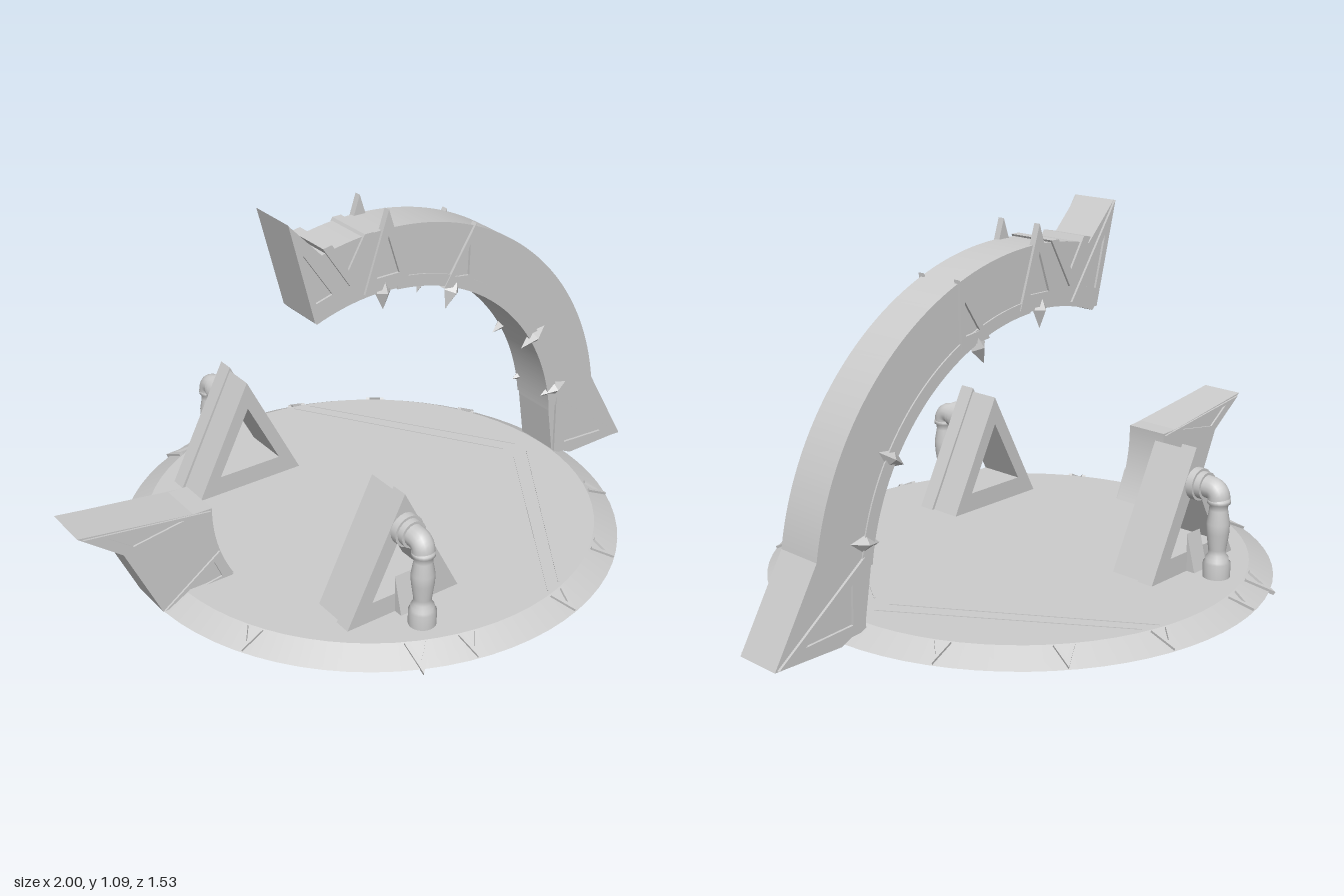
import * as THREE from 'three';

const grey = new THREE.MeshStandardMaterial({ color: 0xcccccc, side: THREE.DoubleSide });
const ARCH_Z = -0.007, CY = 0.14, R_OUT = 0.86, R_IN = 0.67;

function add(parent, name, geo) {
  const mesh = new THREE.Mesh(geo, grey);
  mesh.name = name;
  parent.add(mesh);
  return mesh;
}

const toShape = pts => new THREE.Shape(pts.map(p => new THREE.Vector2(...p)));

// Points shrunk towards their centroid, used for the hole of a frame
function shrink(pts, k) {
  const cx = pts.reduce((s, p) => s + p[0], 0) / pts.length;
  const cy = pts.reduce((s, p) => s + p[1], 0) / pts.length;
  return pts.map(p => [cx + (p[0] - cx) * k, cy + (p[1] - cy) * k]);
}

function frameShape(pts, k) {
  const s = toShape(pts);
  s.holes.push(toShape(shrink(pts, k)));
  return s;
}

// Extrusion along z between z0 and z1
function slab(shape, z0, z1) {
  return new THREE.ExtrudeGeometry(shape, { depth: z1 - z0, bevelEnabled: false, curveSegments: 48 })
    .translate(0, 0, z0);
}

// Thin triangular frames on both side faces of the arch or foot
function sideFrames(parent, name, pts, k = 0.5, inner = 0.06, outer = 0.081) {
  for (const s of [-1, 1]) {
    const [a, b] = s > 0 ? [inner, outer] : [-outer, -inner];
    add(parent, name, slab(frameShape(pts, k), a, b));
  }
}

function buildBase() {
  const base = new THREE.Group();
  base.name = 'base';
  const P = (x, y) => new THREE.Vector2(x, y);
  // Open underneath: flat floor and a separate sloping rim
  add(base, 'floor', new THREE.CircleGeometry(0.69, 72).rotateX(-Math.PI / 2).translate(0, 0.055, 0));
  add(base, 'slopingRim', new THREE.LatheGeometry([P(0.763, 0.015), P(0.69, 0.055)], 72));

  // V-shaped ornaments lying on the rim
  const vee = toShape([[0, -0.03], [0.075, 0], [0, 0.03], [0, 0.018], [0.045, 0], [0, -0.018]]);
  for (const deg of [26, 53, 76, 103, 115, 153]) for (const s of [-1, 1]) {
    const holder = new THREE.Group();
    holder.name = 'rimOrnament';
    holder.rotation.y = -s * deg * Math.PI / 180;
    const v = add(holder, 'rimVee', slab(vee, -0.006, 0.006).rotateX(-Math.PI / 2));
    const k = deg === 115 ? 1.25 : 1;
    v.scale.set(k, 1, k);
    v.position.set(0.695, 0.053, 0);
    v.rotation.z = -0.49;
    base.add(holder);
  }

  // Pairs of narrow seams forming a chevron on the floor
  for (const s of [-1, 1]) for (const off of [0, 0.055]) {
    const a = [0.15 + off, 0.66 - off * 0.3], b = [0.56 + off, 0.03];
    const dx = b[0] - a[0], dz = b[1] - a[1];
    const seam = add(base, 'floorSeam', new THREE.BoxGeometry(Math.hypot(dx, dz), 0.003, 0.005));
    seam.position.set((a[0] + b[0]) / 2, 0.0555, s * (a[1] + b[1]) / 2);
    seam.rotation.y = -s * Math.atan2(dz, dx);
  }
  return base;
}

function buildArch() {
  const arch = new THREE.Group();
  arch.name = 'brokenArch';
  arch.position.z = ARCH_Z;

  // Main curved body with flared foot and pointed broken end
  const body = new THREE.Shape();
  body.moveTo(0.69, 0.056);
  body.lineTo(0.775, 0.015);
  body.lineTo(0.998, 0.018);
  body.absarc(0, CY, R_OUT, 0.16, 1.817, false);
  body.lineTo(-0.32, 1.09);
  body.lineTo(-0.24, 0.78);
  body.absarc(0, CY, R_IN, 1.92, 0.1, true);
  add(arch, 'archBody', slab(body, -0.073, 0.073));

  // Slightly wider band along the inner curve
  const band = new THREE.Shape();
  band.absarc(0, CY, 0.705, 0.12, 1.5, false);
  band.absarc(0, CY, R_IN - 0.002, 1.5, 0.12, true);
  add(arch, 'innerBand', slab(band, -0.078, 0.078));

  // Wider blocks at the pointed end and the foot
  add(arch, 'endBlock', slab(frameShape([[-0.32, 1.09], [-0.24, 0.78], [-0.13, 0.81]], 0.5), -0.08, 0.08));
  sideFrames(arch, 'footFrame', [[0.692, 0.25], [0.695, 0.04], [0.99, 0.022]], 0.55);

  // Full-width V ridge over the top
  add(arch, 'topRidge', slab(toShape([[-0.21, 0.995], [-0.18, 1.0], [-0.125, 0.91], [-0.07, 1.005],
    [-0.04, 1.005], [-0.12, 0.86]]), -0.08, 0.08));

  // Triangular frames
  sideFrames(arch, 'triangleFrame', [[0.012, 1.06], [-0.07, 0.82], [0.09, 0.82]]);
  sideFrames(arch, 'triangleFrame', [[0.33, 0.945], [0.215, 0.765], [0.325, 0.75]]);

  // Pointed studs, stretched along the radius
  for (const [x, y] of [[0, 0.81], [0.25, 0.745], [0.585, 0.5], [0.685, 0.285]]) for (const s of [-1, 1]) {
    const stud = add(arch, 'pointedStud', new THREE.OctahedronGeometry(1, 0));
    stud.scale.set(0.057, 0.028, 0.025);
    stud.position.set(x, y, s * 0.07);
    stud.rotation.z = Math.atan2(y - CY, x);
  }
  return arch;
}

// Short broken foot opposite the arch
function buildStump() {
  const stump = new THREE.Group();
  stump.name = 'brokenStump';
  stump.position.z = -0.01;
  const s = new THREE.Shape();
  s.moveTo(-1, 0.352);
  s.lineTo(-0.87, 0.25);
  s.lineTo(-0.763, 0.015);
  s.lineTo(-0.69, 0.056);
  s.lineTo(-0.53, 0.056);
  s.quadraticCurveTo(-0.595, 0.17, -0.59, 0.298);
  s.lineTo(-0.65, 0.3);
  add(stump, 'stumpBody', slab(s, -0.071, 0.071));
  sideFrames(stump, 'upperFrame', [[-0.985, 0.345], [-0.86, 0.252], [-0.595, 0.292]], 0.6, 0.06, 0.077);
  sideFrames(stump, 'lowerFrame', [[-0.76, 0.02], [-0.575, 0.15], [-0.535, 0.056]], 0.6, 0.06, 0.077);
  return stump;
}

// Triangular stand with a pipe behind it; s = 1 front, -1 back
function buildStand(s) {
  const stand = new THREE.Group();
  stand.name = s > 0 ? 'frontStand' : 'backStand';
  stand.position.x = -0.23;
  const tri = (w, top) => {
    const shape = toShape([[-w, 0.055], [w, 0.055], [0, top]]);
    shape.holes.push(toShape([[-0.108, 0.115], [0.108, 0.115], [0, 0.325]]));
    return shape;
  };
  const span = (a, b) => s > 0 ? [a, b] : [-b, -a];
  add(stand, 'triangle', slab(tri(0.183, 0.415), ...span(0.33, 0.43)));
  add(stand, 'triangleBackplate', slab(tri(0.192, 0.427), ...span(0.43, 0.482)));

  // Small brace behind the triangle
  const brace = slab(toShape([[0.48, 0.055], [0.51, 0.055], [0.48, 0.17]]), -0.03, 0.03);
  add(stand, 'brace', brace.rotateY(-s * Math.PI / 2));

  // Turned upright of the pipe
  const upright = [[0.04, 0.055], [0.04, 0.1], [0.034, 0.105], [0.034, 0.115], [0.026, 0.125], [0.026, 0.14],
    [0.033, 0.19], [0.034, 0.22], [0.027, 0.26], [0.027, 0.275], [0.034, 0.28], [0.034, 0.29], [0.027, 0.295]];
  const pipe = add(stand, 'pipeUpright', new THREE.LatheGeometry(upright.map(p => new THREE.Vector2(...p)), 20));
  pipe.position.z = s * 0.567;

  // Elbow and collars joining the triangle
  const bend = new THREE.CatmullRomCurve3([[0.29, 0.567], [0.305, 0.564], [0.317, 0.552], [0.32, 0.53], [0.32, 0.47]]
    .map(([y, z]) => new THREE.Vector3(0, y, s * z)));
  add(stand, 'pipeElbow', new THREE.TubeGeometry(bend, 20, 0.033, 16));
  for (const [r, len, z] of [[0.048, 0.025, 0.492], [0.041, 0.02, 0.515]]) {
    const collar = add(stand, 'pipeCollar', new THREE.CylinderGeometry(r, r, len, 20).rotateX(Math.PI / 2));
    collar.position.set(0, 0.32, s * z);
  }
  return stand;
}

export function createModel() {
  const model = new THREE.Group();
  model.name = 'arenaPlatform';
  model.add(buildBase(), buildArch(), buildStump(), buildStand(1), buildStand(-1));
  return model;
}
